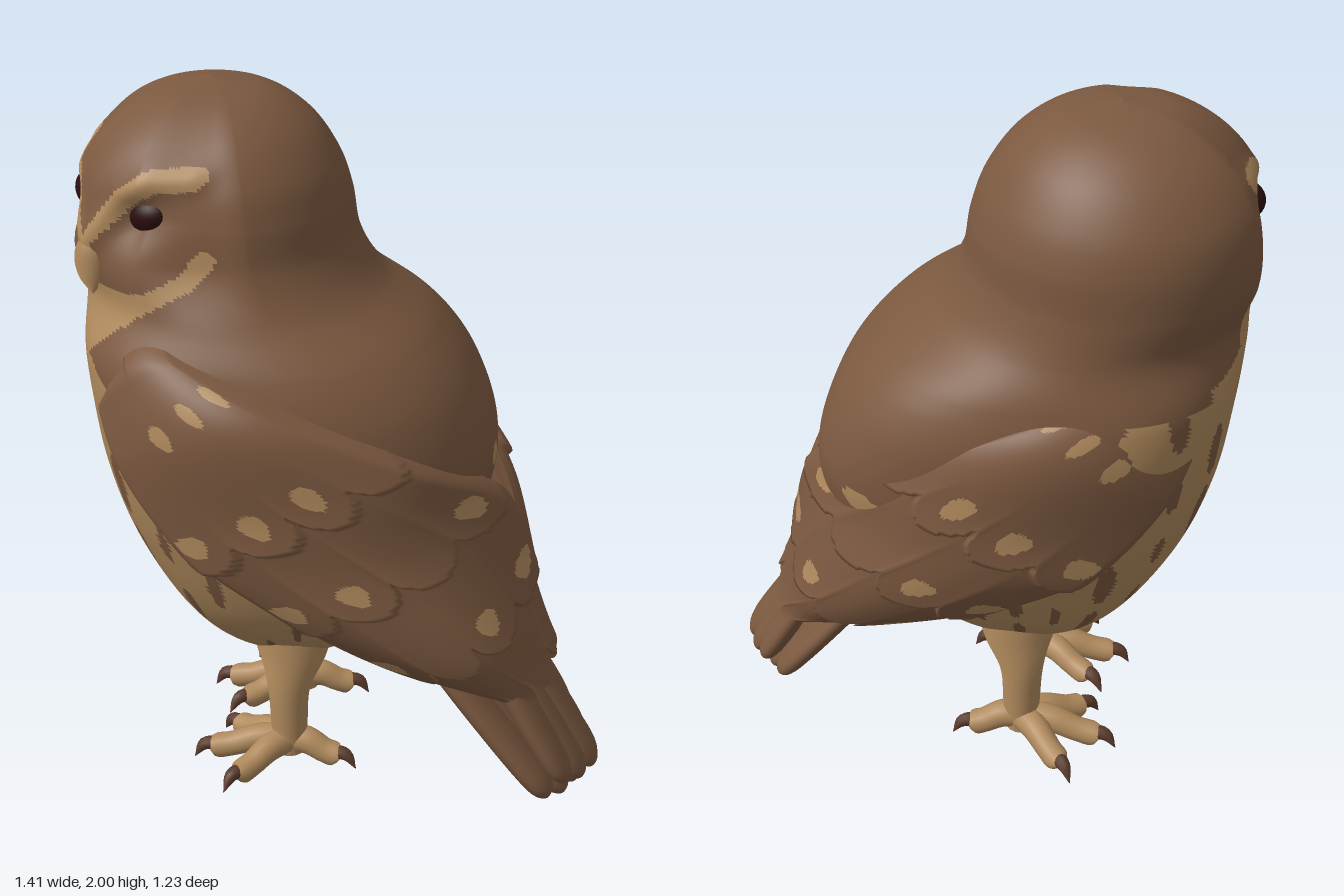
import * as THREE from 'three';
import { ParametricGeometry } from 'three/addons/geometries/ParametricGeometry.js';

const V = (x, y, z) => new THREE.Vector3(x, y, z);
const mat = (name, color) => new THREE.MeshStandardMaterial({ name, color, side: THREE.DoubleSide });
const { smoothstep, clamp } = THREE.MathUtils;
const spline = (pts) => new THREE.CatmullRomCurve3(pts.map((p) => V(...p)), false, 'catmullrom');
const frac = (x) => x - Math.floor(x);
const MID = -0.045; // symmetry plane of the body
const FACE = -0.32; // symmetry plane of the face

// Sort triangles into material groups by a rule on centroid position and uv
function paint(geo, rule) {
  const buckets = [[], []], idx = geo.index.array, pos = geo.attributes.position, uv = geo.attributes.uv;
  const p = V(), q = V(), t = new THREE.Vector2(), r = new THREE.Vector2();
  for (let i = 0; i < idx.length; i += 3) {
    p.set(0, 0, 0);
    t.set(0, 0);
    for (let k = 0; k < 3; k++) {
      p.add(q.fromBufferAttribute(pos, idx[i + k]));
      t.add(r.fromBufferAttribute(uv, idx[i + k]));
    }
    buckets[rule(p.divideScalar(3), t.divideScalar(3)) ? 1 : 0].push(idx[i], idx[i + 1], idx[i + 2]);
  }
  geo.setIndex(buckets.flat());
  geo.clearGroups();
  geo.addGroup(0, buckets[0].length, 0);
  geo.addGroup(buckets[0].length, buckets[1].length, 1);
  return geo;
}

// Tube whose radius follows a list of values
function taper(points, radii, segs = 16, sides = 14) {
  const curve = spline(points), rad = spline(radii.map((r) => [r, 0, 0]));
  const geo = new THREE.TubeGeometry(curve, segs, 1, sides);
  const pos = geo.attributes.position, v = V();
  for (let i = 0; i <= segs; i++) {
    const c = curve.getPointAt(i / segs), r = Math.max(0.001, rad.getPoint(curve.getUtoTmapping(i / segs)).x);
    for (let j = 0; j <= sides; j++) {
      const k = i * (sides + 1) + j;
      v.fromBufferAttribute(pos, k).sub(c).multiplyScalar(r).add(c);
      pos.setXYZ(k, v.x, v.y, v.z);
    }
  }
  return geo;
}

// Distance from (x, y) to a polyline
function lineDist(x, y, pts) {
  let best = 9;
  for (let i = 0; i < pts.length - 1; i++) {
    const [ax, ay] = pts[i], dx = pts[i + 1][0] - ax, dy = pts[i + 1][1] - ay;
    const k = clamp(((x - ax) * dx + (y - ay) * dy) / (dx * dx + dy * dy), 0, 1);
    best = Math.min(best, Math.hypot(x - ax - k * dx, y - ay - k * dy));
  }
  return best;
}
const BROW = [[0.01, 1.63], [0.1, 1.76], [0.17, 1.81], [0.24, 1.82]];
const CHEEK = [[0.1, 1.49], [0.21, 1.51], [0.27, 1.56], [0.295, 1.62]];

// Head-facing coordinates: the head is turned 45 degrees from the body
const faceX = (p) => (p.x - p.z) * Math.SQRT1_2 - FACE;
const faceZ = (p) => (p.x + p.z) * Math.SQRT1_2;

// Body and head sections: centre x, y, centre z, half width, half depth
const SECTIONS = [
  [-0.04, 0.37, 0.06, 0.001, 0.001], [-0.04, 0.385, 0.07, 0.13, 0.12], [-0.04, 0.46, 0.09, 0.25, 0.235],
  [-0.045, 0.6, 0.09, 0.36, 0.35], [-0.055, 0.8, 0.07, 0.44, 0.48], [-0.065, 1.0, 0.075, 0.485, 0.54],
  [-0.07, 1.2, 0.12, 0.5, 0.525], [-0.075, 1.35, 0.185, 0.47, 0.475], [-0.09, 1.47, 0.26, 0.415, 0.405],
  [-0.1, 1.58, 0.315, 0.39, 0.39], [-0.105, 1.7, 0.327, 0.378, 0.378], [-0.105, 1.8, 0.33, 0.345, 0.345],
  [-0.108, 1.9, 0.325, 0.268, 0.268], [-0.11, 1.97, 0.32, 0.155, 0.155], [-0.11, 2.0, 0.32, 0.001, 0.001],
];

function bodyGeometry() {
  const centre = spline(SECTIONS.map(([x, y, z]) => [x, y, z]));
  const size = spline(SECTIONS.map(([, y, , a, b]) => [a, y, b]));
  const geo = new ParametricGeometry((u, v, out) => {
    const c = centre.getPoint(v), s = size.getPoint(v), th = u * Math.PI * 2 + Math.PI;
    // fuller shoulders, less so at the left rear, and cheeks that narrow toward the beak
    const sn = Math.sin(th), cs = Math.cos(th);
    const shoulder = (sn > 0 && cs < 0 ? 0.035 : 0.09) * Math.sin(2 * th) ** 2 * (1 - smoothstep(c.y, 1.3, 1.5));
    const cheek = 0.08 * Math.max(0, Math.cos(4 * th)) * smoothstep(Math.cos(th - Math.PI / 4), 0.2, 0.6) * smoothstep(c.y, 1.45, 1.6);
    const full = 1 + shoulder - cheek;
    out.set(c.x + s.x * full * sn, c.y, c.z + s.z * full * cs);
    // eye sockets and brow ridges
    if (c.y > 1.45 && faceZ(out) > 0.2) {
      const mx = Math.abs(faceX(out)), eye = Math.hypot(mx - 0.135, c.y - 1.71);
      const push = 0.02 * Math.exp(-((lineDist(mx, c.y, BROW) / 0.035) ** 2)) - 0.055 * Math.exp(-((eye / 0.08) ** 2));
      out.x += push * Math.SQRT1_2;
      out.z += push * Math.SQRT1_2;
    }
  }, 200, 182);
  return paint(geo, (p) => {
    const { y } = p, fx = faceX(p), mx = Math.abs(fx), front = faceZ(p) > 0.15;
    // face marks and bib
    if (y > 1.33) {
      if (!front) return false;
      if (lineDist(mx, y, BROW) < Math.min(0.03, 0.017 + 0.08 * mx) || lineDist(mx, y, CHEEK) < 0.023) return true;
      return y < 1.52 && fx > -0.29 - Math.max(0, 1.4 - y) * 2 && fx < 0.06 + (y - 1.36) * 1.2;
    }
    const du = p.x - MID;
    // a few pale spots across the back
    if (p.z < -0.2 && y > 0.8) return ((y - 1.0) / 0.03) ** 2 + ((frac(du / 0.24 + 0.3) - 0.5) / 0.15) ** 2 < 1;
    const pale = y < 0.55 || (p.z > 0.55 * (y - 0.6) && du < 0.27 + (1.33 - y) * 1.2);
    if (!pale) return false;
    // belly streaks in staggered columns
    const col = Math.atan2(du, p.z - 0.1) / 0.27 + 0.3 * y, j = Math.floor(col);
    const row = (y - 0.42) / 0.215 + 0.5 * (j & 1) + 0.15 * Math.sin(j * 5), k = Math.floor(row);
    const size = 0.9 + 0.25 * Math.sin(k * 7 + j * 3);
    const ex = (frac(col) - 0.5) * 0.14 / (0.027 * size), ey = (frac(row) - 0.5) * 0.215 / (0.08 * size);
    return p.z < 0 || y < 0.47 || Math.sin(k * 4 + j * 9) < -0.85 || ex * ex + ey * ey > 1;
  });
}

// Wing shell through a lower, a middle and an upper curve, with scalloped feather rows
const LOW = spline([[0.315, 1.24, 0.58], [0.39, 1.05, 0.53], [0.45, 0.85, 0.37], [0.42, 0.68, 0.12], [0.33, 0.52, -0.14], [0.24, 0.37, -0.5]]);
const OUTER = spline([[0.36, 1.38, 0.52], [0.53, 1.22, 0.27], [0.53, 1.0, 0.0], [0.465, 0.8, -0.24], [0.36, 0.57, -0.44], [0.18, 0.36, -0.6]]);
const HIGH = spline([[0.38, 1.42, 0.4], [0.485, 1.3, 0.08], [0.37, 1.12, -0.29], [0.06, 0.9, -0.52], [-0.1, 0.62, -0.58], [-0.1, 0.4, -0.63]]);
const scallop = (t) => Math.sqrt(Math.abs(Math.sin(Math.PI * t * 4)));
const rowAt = (s, t) => s * 5 - 0.3 * scallop(t) + 0.35 * t;

function wingGeometry(side) {
  const across = (u) => (side > 0 ? 1 - u : u);
  const geo = new ParametricGeometry((u, v, out) => {
    const t = across(u), s = v * (0.94 + 0.06 * scallop(t));
    const a = LOW.getPoint(s), b = OUTER.getPoint(s), c = HIGH.getPoint(s);
    out.set(0, 0, 0).addScaledVector(a, (1 - t) * (1 - 2 * t)).addScaledVector(b, 4 * t * (1 - t)).addScaledVector(c, t * (2 * t - 1));
    const edge = clamp(Math.min(t, 1 - t, v * 1.5) / 0.08, 0, 1);
    const relief = 0.02 * frac(rowAt(s, t)) ** 2 * smoothstep(s, 0.25, 0.45);
    const lift = 0.015 + relief - (t > 0.5 ? 0.05 : 0.08) * (1 - edge) ** 2;
    const len = Math.hypot(out.x, out.z - 0.05);
    out.x += (out.x / len) * lift;
    out.z += ((out.z - 0.05) / len) * lift;
    out.x = MID + side * out.x + 0.07 * (1 - smoothstep(out.y, 0.35, 0.9));
  }, 90, 140);
  geo.computeVertexNormals();
  // pale spots near feather ends
  return paint(geo, (p, uv) => {
    const t = across(uv.x), row = rowAt(uv.y, t), k = Math.floor(row), j = Math.floor(t * 4);
    if ((k + j) % 4 === 0 || uv.y < 0.08 || uv.y > 0.9) return false;
    return ((frac(row) - 0.66) / 0.13) ** 2 + ((frac(t * 4) - 0.5) / 0.2) ** 2 < 1;
  });
}

export function createModel() {
  const brown = mat('brown plumage', 0x7c5940), buff = mat('buff plumage', 0xb08a5d);
  const horn = mat('beak horn', 0xa98459), dark = mat('dark eye', 0x2a0d0e), claw = mat('claw brown', 0x5a3a2c);
  const plumage = [brown, buff];
  const model = new THREE.Group(), body = new THREE.Group();
  model.name = 'owl';
  body.name = 'body';
  body.rotation.y = -Math.PI / 4;
  model.add(body);
  const add = (parent, name, geo, material) => {
    const m = new THREE.Mesh(geo, material);
    m.name = name;
    parent.add(m);
    return m;
  };

  add(body, 'torsoAndHead', bodyGeometry(), plumage);

  // Eyes and beak face the front
  for (const s of [-1, 1]) {
    const eye = add(model, s > 0 ? 'leftEye' : 'rightEye', new THREE.SphereGeometry(0.062, 24, 16), dark);
    eye.position.set(FACE + s * 0.135, 1.71, 0.43);
    eye.scale.set(1.05, 0.8, 0.8);
    eye.rotation.set(0, s * 0.3, s * 0.25);
  }
  add(model, 'beak', taper([[FACE, 1.64, 0.48], [FACE, 1.6, 0.515], [FACE, 1.54, 0.53], [FACE, 1.48, 0.535]], [0.02, 0.052, 0.043, 0.002], 20, 20), horn);

  // Tail: long feathers below, coverts lying on top
  const profile = new THREE.SplineCurve([[0.001, 0], [0.05, 0.012], [0.085, 0.08], [0.09, 0.3], [0.075, 0.55], [0.02, 0.74]].map((p) => new THREE.Vector2(...p)));
  const tailFan = (name, y, z, rootY, rootZ) => {
    for (let i = -2; i <= 2; i++) {
      const tip = V(0.085 + 0.08 * i, y + 0.012 * i * i, z + 0.02 * i * i + (i & 1) * 0.015);
      const root = V(0.06 + 0.06 * i, rootY, rootZ);
      const geo = paint(new THREE.LatheGeometry(profile.getPoints(30), 24), (p) =>
        Math.abs(p.x) < 0.055 && (Math.abs(p.y - 0.19 - 0.03 * (i & 1)) < 0.02 || Math.abs(p.y - 0.38) < 0.02) && p.z > 0);
      const feather = add(body, name, geo, plumage);
      feather.position.copy(tip);
      feather.quaternion.setFromUnitVectors(V(0, 1, 0), root.sub(tip).normalize());
      feather.scale.z = 0.45;
    }
  };
  tailFan('tailFeather', 0.005, -0.74, 0.56, -0.24);
  tailFan('tailCovert', 0.06, -0.785, 0.68, -0.36);
  add(body, 'undertail', taper([[-0.02, 0.5, 0.02], [0.02, 0.43, -0.18], [0.05, 0.33, -0.36]], [0.1, 0.08, 0.02], 20, 20), buff);

  for (const s of [-1, 1]) {
    const label = s > 0 ? 'left' : 'right';
    add(body, label + 'Wing', wingGeometry(s), plumage);

    // Leg with three front toes and one hind toe
    const leg = new THREE.Group();
    leg.name = label + 'Leg';
    leg.position.set(MID + s * 0.172, 0, 0.1);
    body.add(leg);
    add(leg, 'shank', taper([[-s * 0.02, 0.52, -0.01], [-s * 0.01, 0.4, -0.01], [0, 0.28, 0], [0, 0.15, 0], [0, 0.06, 0]], [0.13, 0.1, 0.062, 0.053, 0.045], 20, 20), buff);
    for (const [deg, len] of [[-32, 0.19], [4, 0.22], [48, 0.19], [172, 0.14]]) {
      const toe = new THREE.Group();
      toe.name = 'toe';
      toe.rotation.y = s * THREE.MathUtils.degToRad(deg);
      leg.add(toe);
      add(toe, 'toePad', taper([[0, 0.1, 0], [0, 0.095, len * 0.4], [0, 0.07, len * 0.75], [0, 0.06, len], [0, 0.055, len + 0.02]], [0.045, 0.04, 0.036, 0.034, 0.002]), buff);
      add(toe, 'claw', taper([[0, 0.07, len - 0.02], [0, 0.065, len + 0.03], [0, 0.02, len + 0.06]], [0.02, 0.019, 0.001], 10, 10), claw);
    }
  }
  return model;
}
